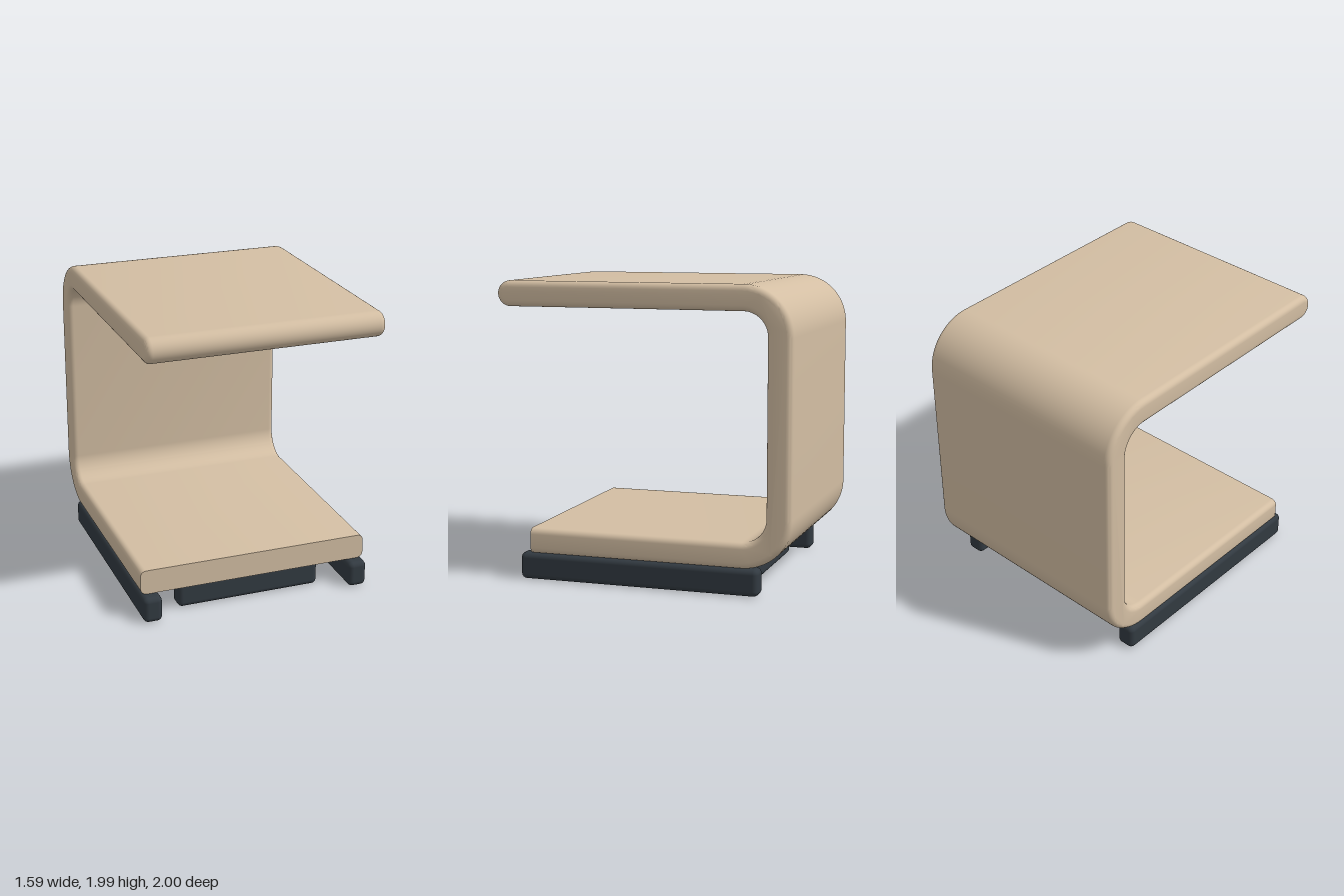
import * as THREE from 'three';
import { toCreasedNormals } from 'three/addons/utils/BufferGeometryUtils.js';
import { RoundedBoxGeometry } from 'three/addons/geometries/RoundedBoxGeometry.js';

const WIDTH = 1.586;     // x size of the bent slab
const THICK = 0.169;     // slab thickness
const BASE = 0.178;      // underside of the slab
const TOP = 1.986;       // top of the table
const OUTER = 0.33;      // outer bend radius
const FRONT = 0.78;      // cut end of the lower leaf
const EDGE = 0.04;       // rounding of the side edges

// C-shaped profile drawn in (z, y) and extruded across x
function bentSlab() {
  const inner = OUTER - THICK, lip = THICK / 2;
  const bendZ = -1 + OUTER, lowY = BASE + OUTER, highY = TOP - OUTER;
  const s = new THREE.Shape();
  s.absarc(bendZ, lowY, OUTER, 1.5 * Math.PI, Math.PI, true);
  s.absarc(bendZ, highY, OUTER, Math.PI, Math.PI / 2, true);
  s.absarc(1 - lip, TOP - lip, lip, Math.PI / 2, -Math.PI / 2, true);
  s.absarc(bendZ, highY, inner, Math.PI / 2, Math.PI, false);
  s.absarc(bendZ, lowY, inner, Math.PI, 1.5 * Math.PI, false);
  s.lineTo(FRONT, BASE + THICK);
  s.lineTo(FRONT, BASE);
  s.closePath();

  const g = new THREE.ExtrudeGeometry(s, {
    depth: WIDTH - 2 * EDGE, curveSegments: 12,
    bevelThickness: EDGE, bevelSize: EDGE, bevelOffset: -EDGE, bevelSegments: 6,
  });
  g.translate(0, 0, -(WIDTH - 2 * EDGE) / 2);
  g.rotateY(-Math.PI / 2);

  // keep the lower leaf's cut end flat
  const p = g.attributes.position;
  for (let i = 0; i < p.count; i++) {
    if (p.getY(i) < 0.4 && p.getZ(i) > 0.7) p.setZ(i, FRONT);
  }
  return toCreasedNormals(g, 0.6);
}

export function createModel() {
  const tan = new THREE.MeshStandardMaterial({ color: 0xd3bea3 });
  tan.name = 'tan';
  const charcoal = new THREE.MeshStandardMaterial({ color: 0x323a41 });
  charcoal.name = 'charcoal';

  const model = new THREE.Group();
  model.name = 'sideTable';
  const add = (name, geometry, material, x = 0, y = 0, z = 0) => {
    const mesh = new THREE.Mesh(geometry, material);
    mesh.name = name;
    mesh.position.set(x, y, z);
    model.add(mesh);
  };

  add('bentSlab', bentSlab(), tan);

  // base: two long side rails and two short cross bars
  const h = 0.178;
  const rail = new RoundedBoxGeometry(0.128, h, 1.64, 4, 0.035);
  const bar = new RoundedBoxGeometry(1.0, h, 0.128, 4, 0.035);
  for (const side of [1, -1]) {
    add(side > 0 ? 'leftRail' : 'rightRail', rail, charcoal, side * 0.729, h / 2, 0.036);
    add(side > 0 ? 'frontBar' : 'backBar', bar, charcoal, -0.016, h / 2, 0.03 + side * 0.635);
  }
  return model;
}
